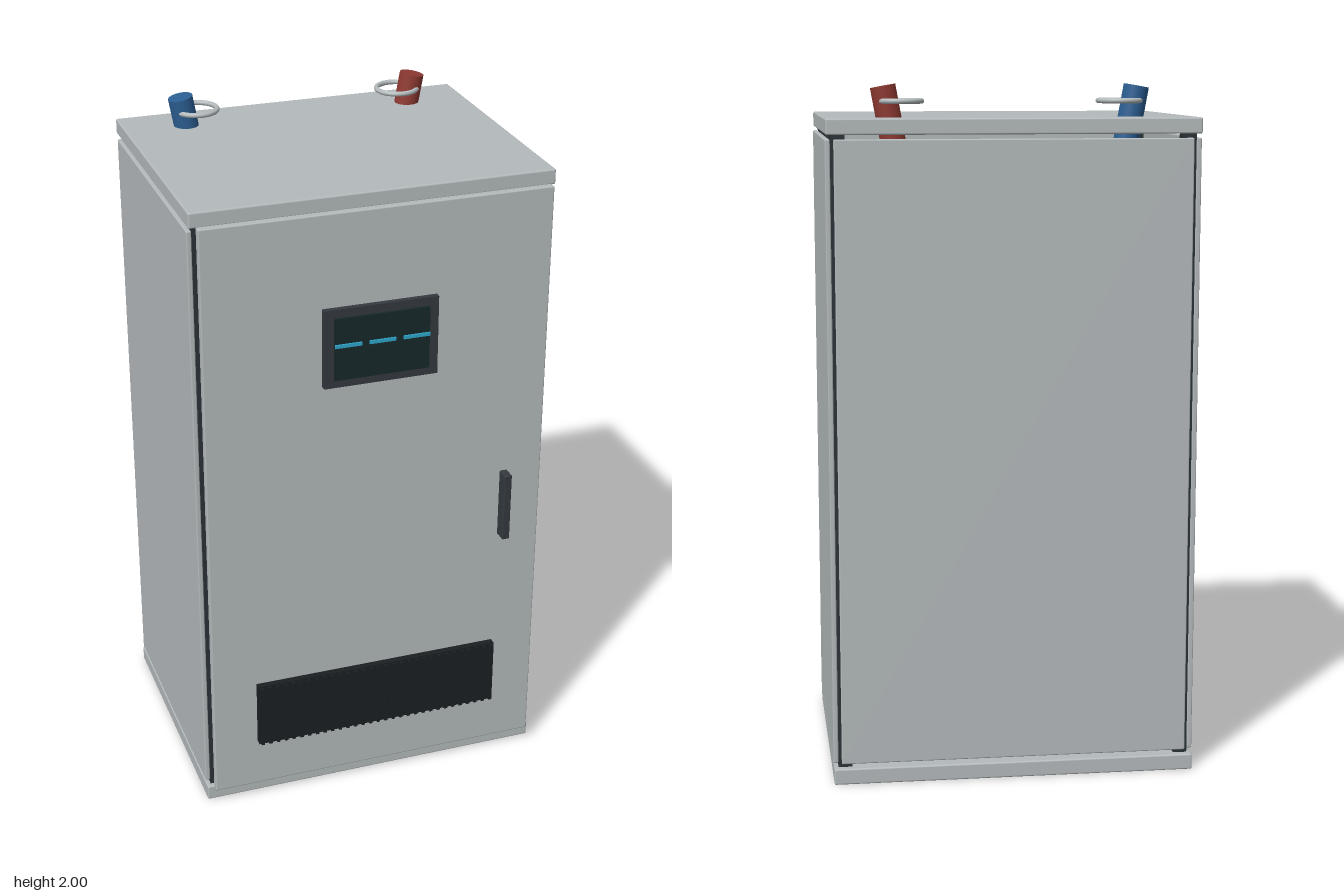
import * as THREE from 'three';
import { RoundedBoxGeometry } from 'three/addons/geometries/RoundedBoxGeometry.js';

const paint = (color) => new THREE.MeshStandardMaterial({ color });

export function createModel() {
  const model = new THREE.Group();
  const shell = paint(0xb4babc);
  const frame = paint(0x2a3236);
  const bezel = paint(0x343a40);
  const black = paint(0x1b1f22);
  const glass = paint(0x18282b);
  const cyan = paint(0x2fa8cc);
  const steel = paint(0xb4babc);
  const red = paint(0x8f3a32);
  const blue = paint(0x2c5f93);

  const add = (name, geometry, material, parent = model) => {
    const mesh = new THREE.Mesh(geometry, material);
    mesh.name = name;
    parent.add(mesh);
    return mesh;
  };
  // Box given by its limits on each axis; bevel > 0 softens the edges
  const box = (name, [x0, x1], [y0, y1], [z0, z1], material, bevel = 0, parent = model) => {
    const size = [x1 - x0, y1 - y0, z1 - z0];
    const geometry = bevel
      ? new RoundedBoxGeometry(...size, 2, bevel)
      : new THREE.BoxGeometry(...size);
    const mesh = add(name, geometry, material, parent);
    mesh.position.set((x0 + x1) / 2, (y0 + y1) / 2, (z0 + z1) / 2);
    return mesh;
  };

  // Cabinet shell: plates, back, sides and door, with narrow gaps between
  box('basePlate', [-0.527, 0.527], [0, 0.047], [-0.443, 0.372], shell, 0.005);
  box('topPlate', [-0.527, 0.527], [1.862, 1.907], [-0.443, 0.372], shell, 0.005);
  box('backPanel', [-0.505, 0.505], [0.06, 1.85], [-0.439, -0.424], shell, 0.004);
  for (const s of [-1, 1]) {
    const x = s * 0.5215;
    box(s > 0 ? 'leftPanel' : 'rightPanel', [x - 0.0075, x + 0.0075], [0.06, 1.85], [-0.425, 0.355], shell, 0.004);
    // Corner posts carrying the plates
    for (const z of [-0.402, 0.337]) {
      box('cornerPost', [s * 0.494 - 0.02, s * 0.494 + 0.02], [0.045, 1.864], [z - 0.02, z + 0.02], frame);
    }
  }
  box('door', [-0.51, 0.51], [0.051, 1.87], [0.38, 0.404], shell, 0.004);

  // Display with three lit dashes
  const display = new THREE.Group();
  display.name = 'display';
  model.add(display);
  box('displayBezel', [-0.168, 0.168], [1.36, 1.596], [0.4, 0.421], bezel, 0, display);
  box('displayScreen', [-0.14, 0.14], [1.385, 1.571], [0.415, 0.429], glass, 0, display);
  for (const x of [-0.1, 0, 0.1]) {
    box('displayDash', [x - 0.039, x + 0.039], [1.485, 1.495], [0.425, 0.434], cyan, 0, display);
  }

  // Door handle
  box('doorHandle', [0.381, 0.404], [0.786, 1.0], [0.4, 0.443], bezel, 0.003);

  // Vent with upright slats
  const vent = new THREE.Group();
  vent.name = 'vent';
  model.add(vent);
  box('ventPlate', [-0.376, 0.376], [0.207, 0.412], [0.4, 0.424], black, 0, vent);
  for (let i = 0; i < 31; i++) {
    const x = -0.367 + i * 0.02447;
    box('ventSlat', [x - 0.005, x + 0.005], [0.21, 0.409], [0.42, 0.435], black, 0, vent);
  }

  // Slanted pipe stubs through the roof, each with a floating ring
  for (const [s, name, material] of [[1, 'left', red], [-1, 'right', blue]]) {
    const length = 0.2, tilt = 0.18;
    const pipe = add(name + 'Pipe', new THREE.CylinderGeometry(0.036, 0.036, length, 32), material);
    pipe.rotation.z = -s * tilt;
    pipe.position.set(
      s * (0.36 - Math.sin(tilt) * length / 2),
      1.9935 - Math.cos(tilt) * length / 2,
      -0.32
    );
    const ring = add(name + 'Ring', new THREE.TorusGeometry(0.0605, 0.0075, 12, 48), steel);
    ring.rotation.x = Math.PI / 2;
    ring.position.set(s * 0.312, 1.952, -0.32);
  }

  return model;
}
